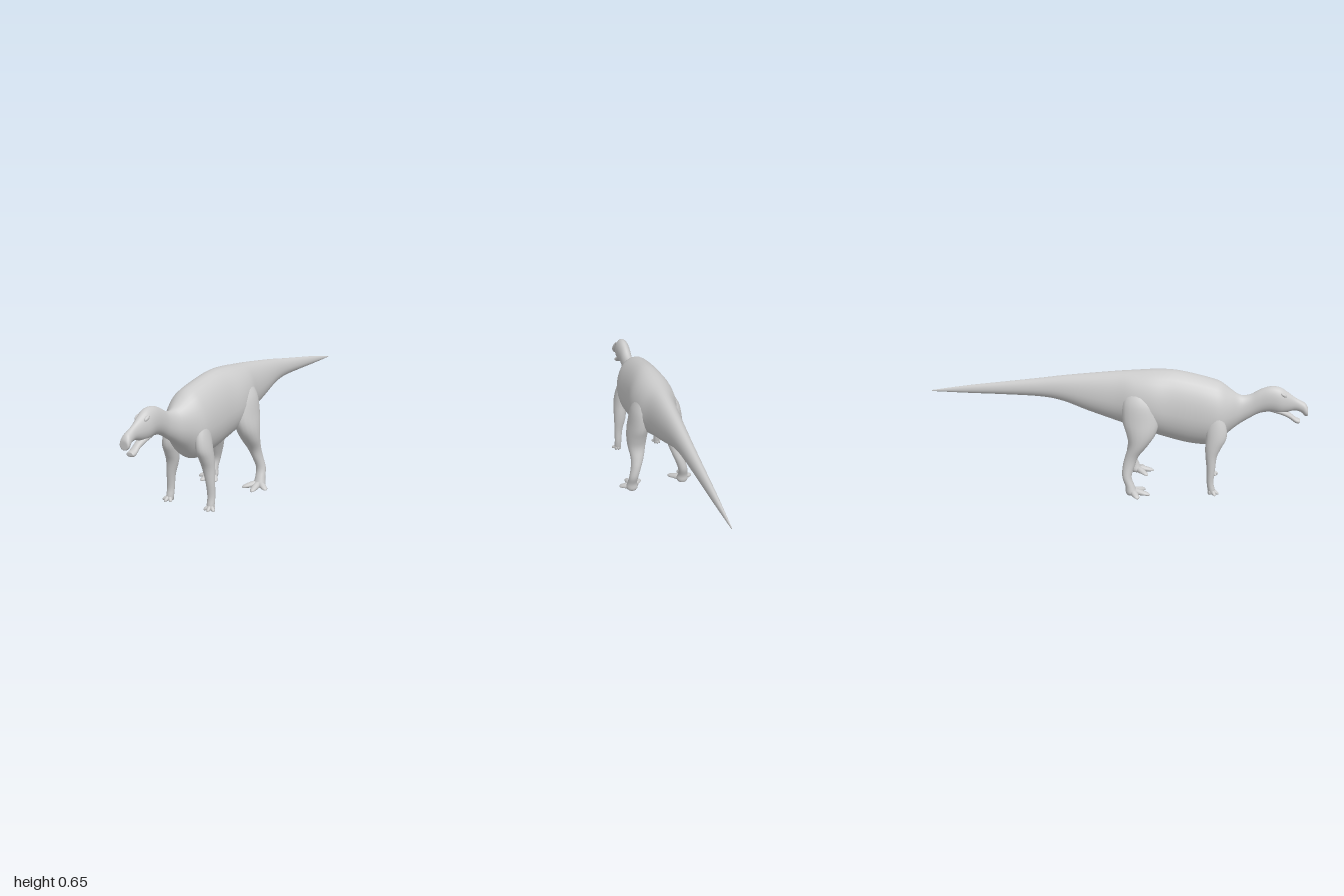
import * as THREE from 'three';

const material = new THREE.MeshStandardMaterial({ color: 0xcccccc });

// Smoothly resample rows of numbers, a fixed number of steps per gap
function smoothRows(rows, steps) {
  const out = [];
  const row = i => rows[Math.max(0, Math.min(rows.length - 1, i))];
  for (let i = 0; i < rows.length - 1; i++) {
    for (let k = 0; k < steps; k++) {
      const t = k / steps;
      out.push(row(i).map((b, c) => {
        const a = row(i - 1)[c], d = row(i + 1)[c], e = row(i + 2)[c];
        return b + 0.5 * t * (d - a + t * (2 * a - 5 * b + 4 * d - e + t * (3 * (b - d) + e - a)));
      }));
    }
  }
  out.push(row(rows.length - 1));
  return out;
}

// Skin a closed, capped surface over rings; place(row, sin, cos) gives a point
function loft(name, rows, place, sides = 24, steps = 4) {
  const rings = smoothRows(rows, steps).map(r => {
    const ring = [];
    for (let j = 0; j < sides; j++) {
      const a = (j / sides) * Math.PI * 2;
      ring.push(place(r, Math.sin(a), Math.cos(a)));
    }
    return ring;
  });
  const pos = rings.flat(2), index = [];
  const id = (i, j) => i * sides + (j % sides);
  for (let i = 0; i < rings.length - 1; i++) {
    for (let j = 0; j < sides; j++) {
      index.push(id(i, j), id(i + 1, j), id(i, j + 1));
      index.push(id(i, j + 1), id(i + 1, j), id(i + 1, j + 1));
    }
  }
  // End caps
  [0, rings.length - 1].forEach((i, end) => {
    const centre = pos.length / 3;
    for (let c = 0; c < 3; c++) pos.push(rings[i].reduce((s, p) => s + p[c], 0) / sides);
    for (let j = 0; j < sides; j++) {
      if (end) index.push(centre, id(i, j + 1), id(i, j));
      else index.push(centre, id(i, j), id(i, j + 1));
    }
  });
  const geo = new THREE.BufferGeometry();
  geo.setAttribute('position', new THREE.Float32BufferAttribute(pos, 3));
  geo.setIndex(index);
  geo.computeVertexNormals();
  const mesh = new THREE.Mesh(geo, material);
  mesh.name = name;
  return mesh;
}

// Rows [z, top, bottom, halfWidth]; the widest point sits below mid height
const along = ([z, top, bottom, w], s, c) => {
  const mid = bottom + (top - bottom) * 0.45;
  return [w * s, mid + c * (c > 0 ? top - mid : mid - bottom), z];
};

// Rows [y, x, z, radiusX, radiusZ], going down, for one side of the body
const limb = (name, side, rows) =>
  loft(name, rows, ([y, x, z, rx, rz], s, c) => [side * x + rx * s, y, z + rz * c], 18);

// Toe lying on the ground, fanned out by yaw
function toe(name, x, y, z, yaw, length, width, height) {
  const rows = [
    [-0.02, height * 0.9, 0, width * 0.6],
    [length * 0.3, height, 0, width],
    [length * 0.75, height * 0.65, 0, width * 0.9],
    [length * 0.94, height * 0.4, 0, width * 0.55],
    [length, height * 0.22, height * 0.08, width * 0.15],
  ];
  const mesh = loft(name, rows, along, 12, 3);
  mesh.position.set(x, y, z);
  mesh.rotation.y = yaw;
  return mesh;
}

export function createModel() {
  const model = new THREE.Group();
  model.name = 'dinosaur';

  // Tail, trunk, neck, skull and upper beak in one skin
  model.add(loft('body', [
    [-1, 0.494, 0.488, 0.002],
    [-0.8, 0.528, 0.486, 0.015],
    [-0.6, 0.556, 0.486, 0.025],
    [-0.4, 0.584, 0.482, 0.036],
    [-0.28, 0.602, 0.462, 0.046],
    [-0.15, 0.618, 0.415, 0.061],
    [0, 0.635, 0.366, 0.082],
    [0.1, 0.643, 0.335, 0.112],
    [0.2, 0.651, 0.305, 0.125],
    [0.3, 0.652, 0.276, 0.117],
    [0.4, 0.636, 0.255, 0.116],
    [0.5, 0.612, 0.25, 0.117],
    [0.55, 0.594, 0.27, 0.109],
    [0.6, 0.558, 0.325, 0.082],
    [0.65, 0.528, 0.368, 0.048],
    [0.7, 0.533, 0.402, 0.036],
    [0.75, 0.562, 0.432, 0.035],
    [0.8, 0.58, 0.443, 0.039],
    [0.85, 0.577, 0.437, 0.041],
    [0.89, 0.553, 0.443, 0.031],
    [0.93, 0.525, 0.455, 0.021],
    [0.965, 0.506, 0.447, 0.022],
    [0.985, 0.495, 0.428, 0.026],
    [0.998, 0.475, 0.426, 0.024],
    [1, 0.458, 0.435, 0.016],
  ], along, 32));

  // Open lower jaw
  model.add(loft('lowerJaw', [
    [0.82, 0.475, 0.44, 0.024],
    [0.87, 0.462, 0.427, 0.024],
    [0.91, 0.44, 0.408, 0.019],
    [0.94, 0.418, 0.387, 0.021],
    [0.958, 0.41, 0.385, 0.021],
    [0.964, 0.408, 0.392, 0.016],
  ], along, 20));

  for (const side of [1, -1]) {
    const label = side > 0 ? 'left' : 'right';

    // Brow over the eye
    const brow = new THREE.Mesh(new THREE.SphereGeometry(1, 14, 10), material);
    brow.name = label + 'Brow';
    brow.scale.set(0.009, 0.009, 0.02);
    brow.position.set(side * 0.026, 0.543, 0.868);
    brow.rotation.x = 0.5;
    model.add(brow);

    // Hind leg from hip to ankle
    model.add(limb(label + 'HindLeg', side, [
      [0.58, 0.055, 0.12, 0.02, 0.04],
      [0.5, 0.078, 0.13, 0.05, 0.085],
      [0.4, 0.094, 0.14, 0.055, 0.095],
      [0.33, 0.104, 0.143, 0.056, 0.077],
      [0.27, 0.11, 0.13, 0.05, 0.052],
      [0.21, 0.115, 0.1, 0.037, 0.036],
      [0.16, 0.126, 0.084, 0.029, 0.032],
      [0.1, 0.142, 0.075, 0.026, 0.025],
      [0.05, 0.148, 0.092, 0.027, 0.025],
      [0.018, 0.148, 0.1, 0.033, 0.031],
      [0.003, 0.148, 0.1, 0.026, 0.026],
    ]));
    // Inner, middle and outer hind toes
    [[-0.75, 0.095], [0.1, 0.1], [1.0, 0.075]].forEach(([yaw, length], i) =>
      model.add(toe(label + 'HindToe' + (i + 1), side * 0.148, 0, 0.1, side * yaw, length, 0.018, 0.034)));

    // Front leg from shoulder to wrist
    model.add(limb(label + 'FrontLeg', side, [
      [0.45, 0.085, 0.52, 0.022, 0.035],
      [0.38, 0.092, 0.532, 0.032, 0.052],
      [0.32, 0.099, 0.534, 0.036, 0.053],
      [0.27, 0.103, 0.522, 0.036, 0.042],
      [0.22, 0.107, 0.513, 0.033, 0.03],
      [0.15, 0.117, 0.514, 0.024, 0.022],
      [0.08, 0.121, 0.513, 0.02, 0.018],
      [0.04, 0.122, 0.52, 0.02, 0.019],
      [0.016, 0.122, 0.525, 0.018, 0.018],
    ]));
    // Short front toes
    [[-0.8, 0.036], [0.1, 0.038], [1.0, 0.036]].forEach(([yaw, length], i) =>
      model.add(toe(label + 'FrontToe' + (i + 1), side * 0.124, 0.012, 0.523, side * yaw, length, 0.01, 0.026)));
  }
  return model;
}
